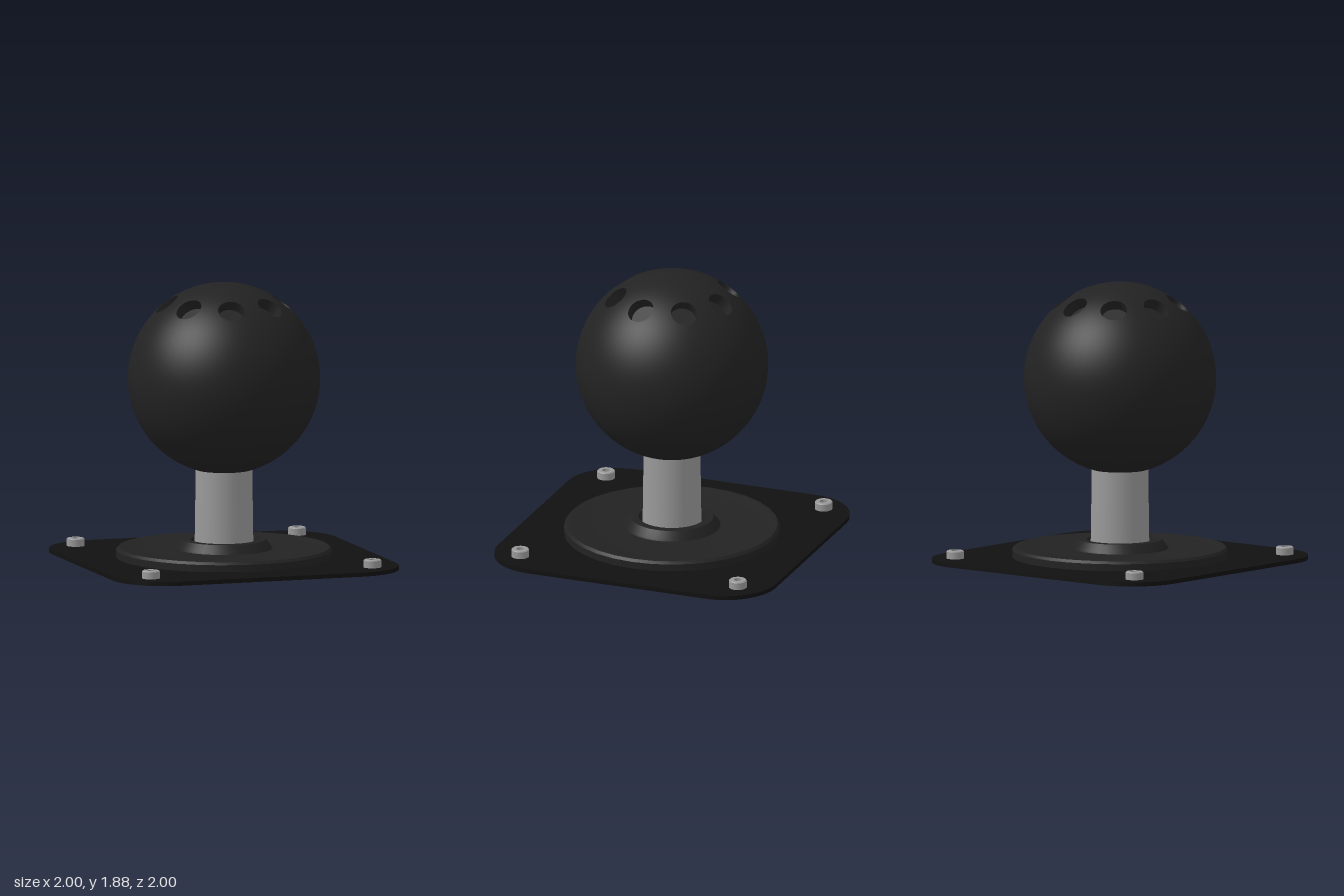
import * as THREE from 'three';
import { mergeGeometries, toCreasedNormals } from 'three/addons/utils/BufferGeometryUtils.js';

const R = 0.645, BALL_Y = 1.237;            // ball radius and centre height
const HOLES = 8, HOLE_R = 0.09, HOLE_DEPTH = 0.085;
const HOLE_TILT = 0.65, TOP = 0.36, BOTTOM = 0.95; // polar angles: hole, drilled band

const material = (color) => new THREE.MeshStandardMaterial({ color });

function add(parent, name, geometry, mat, x = 0, y = 0, z = 0) {
  const mesh = new THREE.Mesh(geometry, mat);
  mesh.name = name;
  mesh.position.set(x, y, z);
  parent.add(mesh);
  return mesh;
}

// Turned part with crisp profile corners
function turned(points, segments) {
  const profile = points.map(([r, y]) => new THREE.Vector2(r, y));
  return toCreasedNormals(new THREE.LatheGeometry(profile, segments), 0.5);
}

const polar = (tilt, turn) => new THREE.Vector3(
  Math.sin(tilt) * Math.cos(turn), Math.cos(tilt), Math.sin(tilt) * Math.sin(turn));

// One eighth of the drilled band: rings blend from a round hole to the sector's border
function drilledPatch() {
  const side = 8, around = side * 4, rings = 6, half = Math.PI / HOLES;
  const n = polar(HOLE_TILT, 0);
  const u = new THREE.Vector3(0, 0, 1), v = polar(HOLE_TILT + Math.PI / 2, 0);
  const angular = Math.asin(HOLE_R / R);
  const corners = [[-1, 0], [1, 0], [1, 1], [-1, 1]];
  const positions = [], normals = [], index = [];
  for (let j = 0; j <= rings; j++) {
    for (let i = 0; i <= around; i++) {
      const k = i % around, edge = Math.floor(k / side), t = (k % side) / side;
      const [a, b] = [corners[edge], corners[(edge + 1) % 4]];
      const border = polar(
        THREE.MathUtils.lerp(TOP, BOTTOM, a[1] + (b[1] - a[1]) * t),
        half * (a[0] + (b[0] - a[0]) * t));
      const angle = (k / around) * Math.PI * 2 - Math.PI * 0.75;
      const rim = n.clone().multiplyScalar(Math.cos(angular))
        .addScaledVector(u, Math.sin(angular) * Math.cos(angle))
        .addScaledVector(v, Math.sin(angular) * Math.sin(angle));
      const p = rim.lerp(border, j / rings).normalize();
      normals.push(p.x, p.y, p.z);
      positions.push(p.x * R, p.y * R, p.z * R);
      if (j < rings && i < around) {
        const q = j * (around + 1) + i, o = q + around + 1;
        index.push(q, o, q + 1, q + 1, o, o + 1);
      }
    }
  }
  const g = new THREE.BufferGeometry();
  g.setAttribute('position', new THREE.Float32BufferAttribute(positions, 3));
  g.setAttribute('normal', new THREE.Float32BufferAttribute(normals, 3));
  g.setIndex(index);
  return g;
}

function createBall(mat) {
  const ball = new THREE.Group();
  ball.name = 'ball';
  ball.position.y = BALL_Y;

  // Crown and lower body, stopping at the flat underside
  const cut = Math.PI - 0.295;
  add(ball, 'ballCrown', new THREE.SphereGeometry(R, 64, 8, 0, Math.PI * 2, 0, TOP), mat);
  add(ball, 'ballBody', new THREE.SphereGeometry(R, 64, 32, 0, Math.PI * 2, BOTTOM, cut - BOTTOM), mat);
  add(ball, 'ballUnderside', new THREE.CircleGeometry(R * Math.sin(cut), 64).rotateX(Math.PI / 2),
    mat, 0, R * Math.cos(cut), 0);

  // Drilled band with blind radial holes
  const rimY = Math.sqrt(R * R - HOLE_R * HOLE_R);
  const patch = drilledPatch();
  const pocket = turned([[HOLE_R, rimY], [HOLE_R, R - HOLE_DEPTH], [0, R - HOLE_DEPTH]], 32)
    .rotateZ(-HOLE_TILT);
  const patches = [], pockets = [];
  for (let i = 0; i < HOLES; i++) {
    const turn = -(i + 0.25) * Math.PI * 2 / HOLES;
    patches.push(patch.clone().rotateY(turn));
    pockets.push(pocket.clone().rotateY(turn));
  }
  add(ball, 'drilledBand', mergeGeometries(patches), mat);
  add(ball, 'fingerHoles', mergeGeometries(pockets), mat);
  return ball;
}

// Square mounting plate with rounded corners
function plateGeometry(h, r, thickness) {
  const s = new THREE.Shape();
  [[1, 1], [-1, 1], [-1, -1], [1, -1]].forEach(([x, y], i) =>
    s.absarc(x * (h - r), y * (h - r), r, i * Math.PI / 2, (i + 1) * Math.PI / 2, false));
  return new THREE.ExtrudeGeometry(s, { depth: thickness, bevelEnabled: false, curveSegments: 12 })
    .rotateX(-Math.PI / 2);
}

export function createModel() {
  const model = new THREE.Group();
  model.name = 'ballTopJoystick';
  const dark = material(0x222222), black = material(0x111111), metal = material(0x999999);

  add(model, 'basePlate', plateGeometry(1, 0.36, 0.028), black);

  // Round dust cover with raised lip and hollow conical collar
  add(model, 'dustCover', turned([
    [0, 0.02], [0.725, 0.02], [0.725, 0.075], [0.71, 0.093], [0.68, 0.093], [0.66, 0.085],
    [0.325, 0.085], [0.32, 0.095], [0.28, 0.145], [0.225, 0.145], [0.215, 0.09], [0, 0.09],
  ], 32), dark);

  add(model, 'neck', new THREE.CylinderGeometry(0.19, 0.198, 0.56, 32), metal, 0, 0.35, 0);
  model.add(createBall(dark));

  // Socket-head screws in the corners
  const screw = turned([
    [0, 0.02], [0.06, 0.02], [0.06, 0.075], [0.054, 0.081], [0.027, 0.081], [0.027, 0.055], [0, 0.055],
  ], 20);
  for (const x of [-1, 1]) {
    for (const z of [-1, 1]) add(model, 'cornerScrew', screw, metal, x * 0.784, 0, z * 0.784);
  }
  return model;
}
